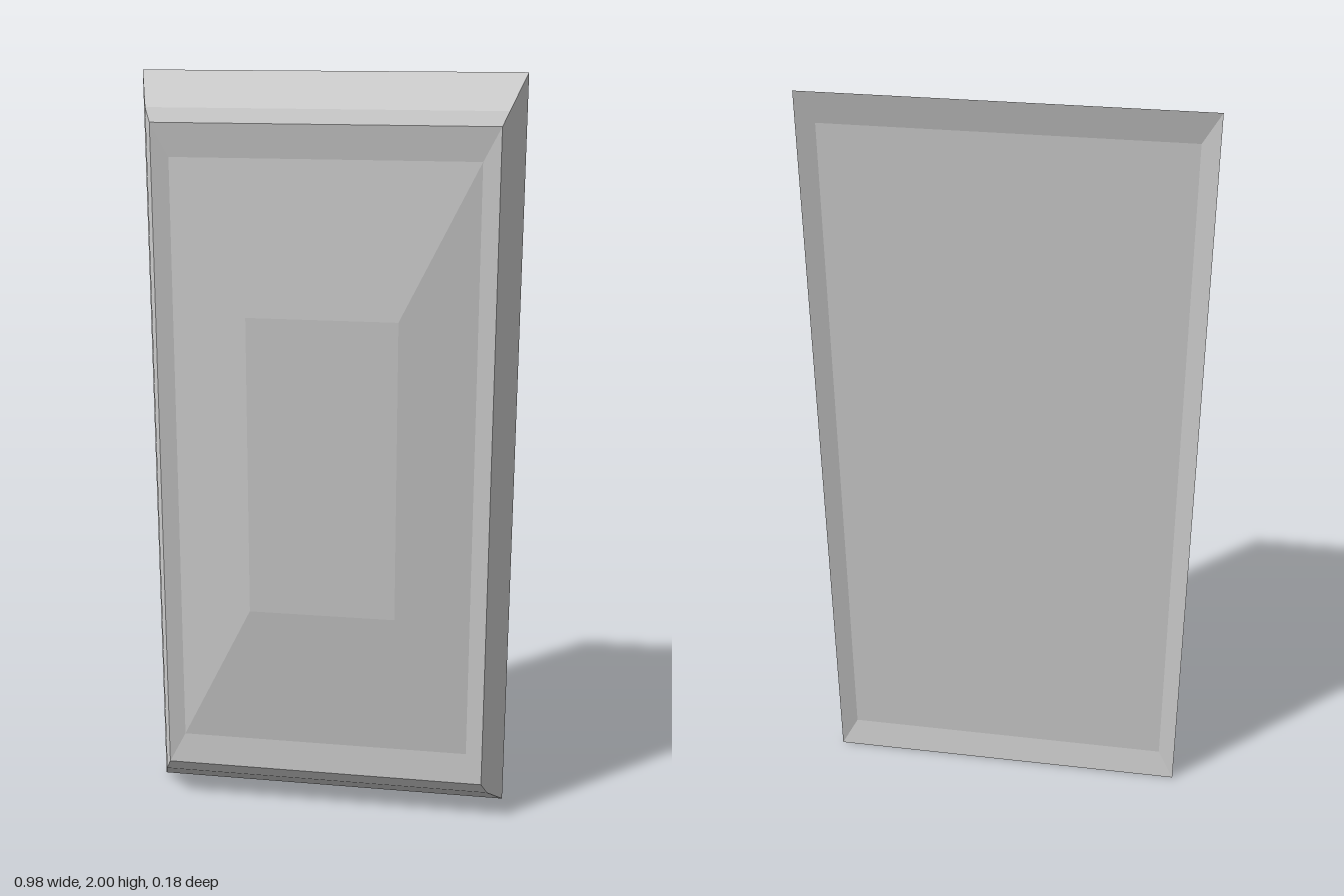
import * as THREE from 'three';

// Skin rectangular rings [halfWidth, halfHeight, z], listed from back to front.
function ringSkin(rings, capBack, capFront) {
  const positions = [];
  const corner = ([w, h, z], i) => [[-w, -h, z], [w, -h, z], [w, h, z], [-w, h, z]][i % 4];
  const quad = (a, b, c, d) => positions.push(...a, ...b, ...c, ...a, ...c, ...d);
  for (let r = 0; r < rings.length - 1; r++) {
    for (let i = 0; i < 4; i++) {
      quad(corner(rings[r], i), corner(rings[r], i + 1), corner(rings[r + 1], i + 1), corner(rings[r + 1], i));
    }
  }
  const first = rings[0], last = rings[rings.length - 1];
  if (capBack) quad(corner(first, 3), corner(first, 2), corner(first, 1), corner(first, 0));
  if (capFront) quad(corner(last, 0), corner(last, 1), corner(last, 2), corner(last, 3));
  const geometry = new THREE.BufferGeometry();
  geometry.setAttribute('position', new THREE.Float32BufferAttribute(positions, 3));
  geometry.computeVertexNormals();
  return geometry;
}

export function createModel() {
  const group = new THREE.Group();
  group.name = 'panelTile';
  const material = new THREE.MeshStandardMaterial({ color: 0xcccccc, flatShading: true });

  const add = (name, geometry) => {
    const mesh = new THREE.Mesh(geometry, material);
    mesh.name = name;
    mesh.position.y = 1;
    group.add(mesh);
  };

  const backEdge = [0.49, 1, -0.088];
  const frontRim = [0.436, 0.88, 0.061];
  const panelEdge = [0.392, 0.795, 0.053];

  // Shallow recessed back
  add('backPanel', ringSkin([[0.446, 0.92, -0.072], backEdge], true, false));
  // Tapered sides, bevelled rim and its inward slope
  add('frame', ringSkin([backEdge, [0.452, 0.915, 0.039], frontRim, panelEdge], false, false));
  // Raised faceted front with a flat centre
  add('frontPanel', ringSkin([panelEdge, [0.195, 0.4, 0.088]], false, true));

  return group;
}
